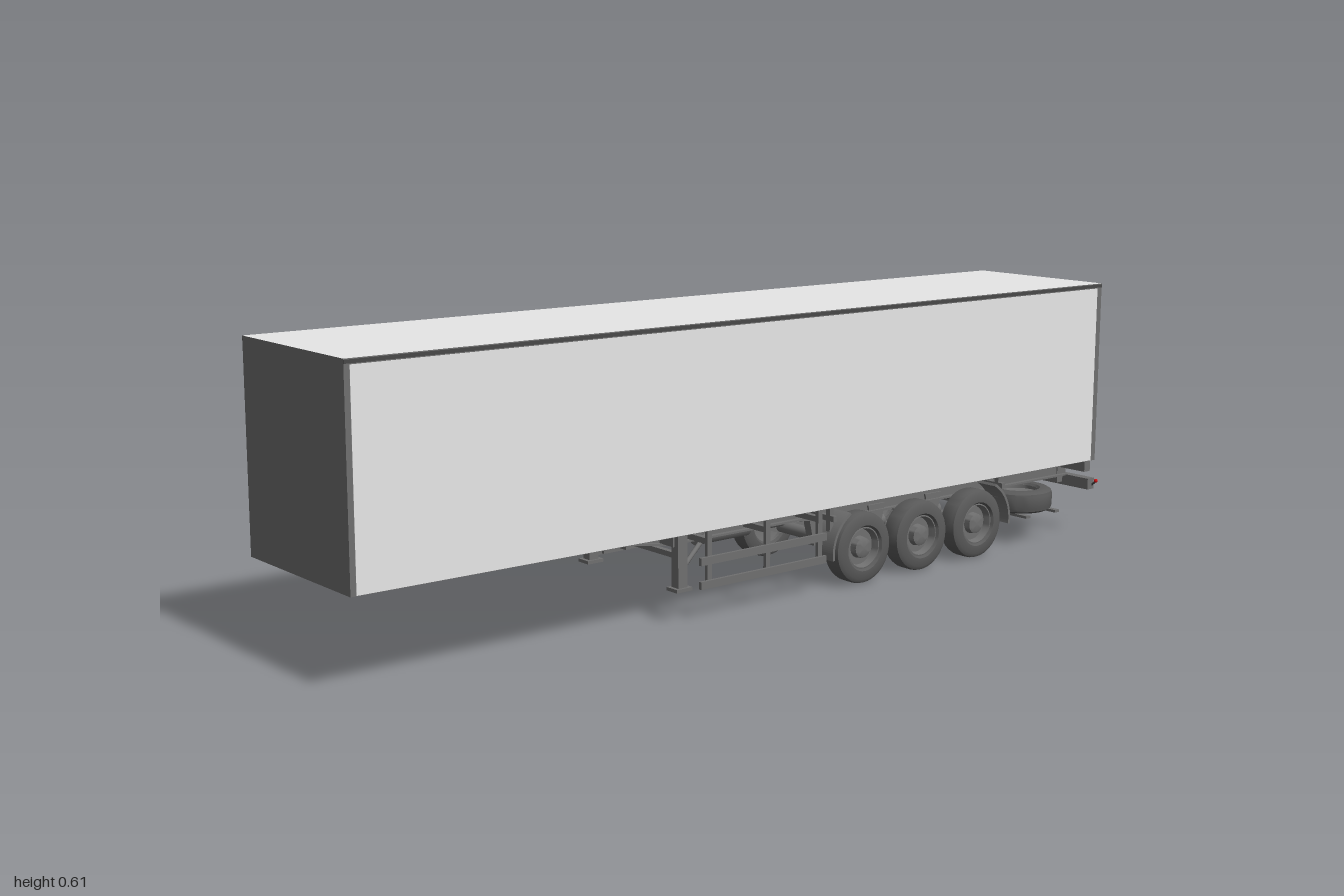
import * as THREE from 'three';
import { toCreasedNormals } from 'three/addons/utils/BufferGeometryUtils.js';

const mat = (name, color) => {
  const m = new THREE.MeshStandardMaterial({ color });
  m.name = name;
  return m;
};

export function createModel() {
  const root = new THREE.Group();
  root.name = 'boxSemiTrailer';
  const panel = mat('panelWhite', 0xf2f2f2);
  const steel = mat('steelGrey', 0x6f6f6f);
  const rubber = mat('rubberGrey', 0x5a5a5a);
  const trim = mat('trimDark', 0x484848);
  const red = mat('lampRed', 0xd01010);

  const add = (name, geo, m, x = 0, y = 0, z = 0, parent = root) => {
    const mesh = new THREE.Mesh(geo, m);
    mesh.name = name;
    mesh.position.set(x, y, z);
    parent.add(mesh);
    return mesh;
  };
  const box = (name, w, h, d, x, y, z, m = steel, parent = root) =>
    add(name, new THREE.BoxGeometry(w, h, d), m, x, y, z, parent);
  // Round bar between two points
  const bar = (name, a, b, r, m = steel) => {
    const p = new THREE.Vector3(...a), q = new THREE.Vector3(...b);
    const mesh = add(name, new THREE.CylinderGeometry(r, r, p.distanceTo(q), 12), m);
    mesh.position.copy(p).add(q).multiplyScalar(0.5);
    mesh.quaternion.setFromUnitVectors(new THREE.Vector3(0, 1, 0), q.sub(p).normalize());
    return mesh;
  };
  // Side outline in (z, y), given a width along x
  const sideExtrude = (name, shape, w, x, m = steel) => {
    const geo = new THREE.ExtrudeGeometry(shape, { depth: w, bevelEnabled: false, curveSegments: 14 });
    geo.rotateY(-Math.PI / 2).translate(w / 2, 0, 0);
    return add(name, geo, m, x, 0, 0);
  };
  const poly = pts => new THREE.Shape(pts.map(p => new THREE.Vector2(...p)));
  const lathe = (pts, n = 32) => toCreasedNormals(
    new THREE.LatheGeometry(pts.map(p => new THREE.Vector2(...p)), n), 0.6);

  // Cargo body, pitched slightly nose up
  const body = new THREE.Group();
  body.name = 'cargoBody';
  body.position.set(0, 0.3935, 0.005);
  body.rotation.x = -0.0068;
  root.add(body);
  add('bodyShell', new THREE.BoxGeometry(0.374, 0.418, 1.984),
    [steel, steel, panel, steel, steel, steel], 0, 0, 0, body);
  for (const s of [-1, 1]) {
    box('sidePanel', 0.002, 0.406, 1.957, s * 0.187, -0.005, 0.002, panel, body);
    box('topRail', 0.002, 0.007, 1.984, s * 0.187, 0.2035, 0, trim, body);
    // Rear door lock bars and lamps
    for (const x of [0.035, 0.075])
      box('doorBar', 0.004, 0.4, 0.003, s * x, 0, -0.993, steel, body);
    box('doorLamp', 0.072, 0.024, 0.006, s * 0.118, -0.178, -0.995, red, body);
    for (let i = 0; i < 3; i++)
      box('lampDivider', 0.005, 0.012, 0.0075, s * (0.1 + i * 0.018), -0.178, -0.995, panel, body);
  }
  box('doorSeam', 0.003, 0.41, 0.002, 0, 0, -0.992, trim, body);

  // Tyre and rim profiles: radius, then distance towards the outside
  const tyreGeo = lathe([[0.045, -0.02], [0.05, -0.025], [0.068, -0.025], [0.076, -0.02],
    [0.078, -0.014], [0.078, 0.014], [0.076, 0.02], [0.068, 0.025], [0.05, 0.025], [0.045, 0.018]], 36);
  const rimGeo = lathe([[0, -0.012], [0.045, -0.012], [0.045, -0.02], [0.047, -0.021], [0.047, 0.019],
    [0.043, 0.02], [0.039, 0.004], [0.024, 0.004], [0.022, 0.018], [0.015, 0.021], [0, 0.021]]);
  const wheel = (name, x, y, z, tiltZ) => {
    const g = new THREE.Group();
    g.name = name;
    g.position.set(x, y, z);
    g.rotation.z = tiltZ;
    add('tyre', tyreGeo, rubber, 0, 0, 0, g);
    add('rim', rimGeo, steel, 0, 0, 0, g);
    root.add(g);
  };
  const axles = [-0.245, -0.42, -0.597];
  const bagGeo = lathe([[0, -0.025], [0.011, -0.025], [0.013, -0.018], [0.013, 0.018], [0.011, 0.025], [0, 0.025]], 20);
  for (const z of axles) {
    bar('axleTube', [-0.15, 0.079, z], [0.15, 0.079, z], 0.014);
    for (const s of [-1, 1]) {
      wheel('wheel', s * 0.155, 0.079, z, -s * Math.PI / 2);
      add('airBag', bagGeo, rubber, s * 0.093, 0.108, z - 0.055);
      // Hanger bracket and trailing arm
      sideExtrude('hangerBracket', poly([[z + 0.1, 0.15], [z + 0.085, 0.085], [z + 0.065, 0.085],
        [z + 0.05, 0.15]]), 0.02, s * 0.1);
      sideExtrude('trailingArm', poly([[z + 0.08, 0.1], [z + 0.08, 0.088], [z, 0.062],
        [z - 0.07, 0.068], [z - 0.07, 0.08], [z, 0.08]]), 0.014, s * 0.1);
      bar('brakeChamber', [s * 0.07, 0.1, z + 0.02], [s * 0.07, 0.1, z + 0.06], 0.014);
    }
  }

  for (const s of [-1, 1]) {
    // Main chassis rail with tapered nose and flange
    sideExtrude('chassisRail', poly([[0.43, 0.192], [0.43, 0.182], [0.24, 0.152], [-0.12, 0.15],
      [-0.2, 0.138], [-0.97, 0.134], [-0.97, 0.18]]), 0.01, s * 0.1);
    sideExtrude('railFlange', poly([[0.43, 0.184], [0.43, 0.18], [0.24, 0.149], [-0.12, 0.147],
      [-0.2, 0.135], [-0.97, 0.131], [-0.97, 0.135], [-0.2, 0.139], [-0.12, 0.151], [0.24, 0.153]]),
      0.032, s * 0.1);

    // Landing leg
    box('landingLeg', 0.022, 0.117, 0.024, s * 0.15, 0.128, 0.24);
    box('legInner', 0.016, 0.05, 0.017, s * 0.15, 0.09, 0.24);
    box('legFoot', 0.034, 0.007, 0.04, s * 0.15, 0.068, 0.24);
    box('legBracket', 0.05, 0.03, 0.03, s * 0.124, 0.17, 0.24);
    bar('legBrace', [s * 0.145, 0.1, 0.235], [s * 0.105, 0.16, 0.13], 0.005);

    // Side underrun guard
    for (const y of [0.075, 0.124])
      box('guardRail', 0.007, 0.016, 0.34, s * 0.181, y, 0.042);
    for (const z of [0.185, 0.03, -0.115]) {
      box('guardPost', 0.008, 0.115, 0.012, s * 0.174, 0.127, z);
      box('guardOutrigger', 0.075, 0.012, 0.012, s * 0.137, 0.162, z);
    }

    // Curved mudguards ahead of the first and behind the last wheel
    for (const [z, a, b] of [[axles[0], -0.12, 1.05], [axles[2], Math.PI - 1.05, Math.PI + 0.12]]) {
      const arc = new THREE.Shape();
      arc.absarc(z, 0.079, 0.1, a, b, false);
      arc.absarc(z, 0.079, 0.094, b, a, true);
      sideExtrude('mudguard', arc, 0.054, s * 0.158);
      const end = z + Math.cos((a + b) / 2) * 0.095;
      box('mudguardBracket', 0.075, 0.012, 0.01, s * 0.138, 0.155, end);
      box('mudguardHanger', 0.012, 0.06, 0.01, s * 0.158, 0.156, end);
    }

    // Spare wheel lying flat in its carrier
    wheel('spareWheel', s * 0.103, 0.098, -0.815, Math.PI);
    for (const z of [-0.765, -0.865])
      box('spareCarrier', 0.16, 0.006, 0.014, s * 0.1, 0.07, z);
    box('spareHanger', 0.012, 0.07, 0.014, s * 0.018, 0.104, -0.765);
    box('spareHanger', 0.012, 0.07, 0.014, s * 0.018, 0.104, -0.865);

    // Rear bumper arms, lamps and marker stalks
    box('bumperArm', 0.014, 0.06, 0.03, s * 0.1, 0.145, -0.962);
    box('bumperLamp', 0.062, 0.02, 0.005, s * 0.15, 0.121, -0.99, red);
    box('dockBuffer', 0.03, 0.02, 0.016, s * 0.07, 0.16, -0.983, trim);
    bar('markerStalk', [s * 0.18, 0.115, -0.982], [s * 0.197, 0.128, -0.982], 0.0025, trim);
    add('markerTip', new THREE.SphereGeometry(0.0045, 10, 8), red, s * 0.196, 0.129, -0.982);
  }

  // Cross members under the floor
  for (const z of [0.33, 0.1, -0.05, -0.17, -0.33, -0.51, -0.7, -0.93])
    box('crossMember', 0.2, 0.026, 0.012, 0, 0.166, z);
  box('legCrossBeam', 0.29, 0.011, 0.012, 0, 0.135, 0.24);
  bar('legShaft', [-0.14, 0.155, 0.235], [0.14, 0.155, 0.235], 0.004);
  bar('airTank', [0, 0.125, -0.06], [0, 0.125, 0.08], 0.022);

  // Rear bumper
  box('rearBumper', 0.37, 0.026, 0.022, 0, 0.121, -0.977);
  box('rearSill', 0.36, 0.026, 0.02, 0, 0.164, -0.968);
  return root;
}
